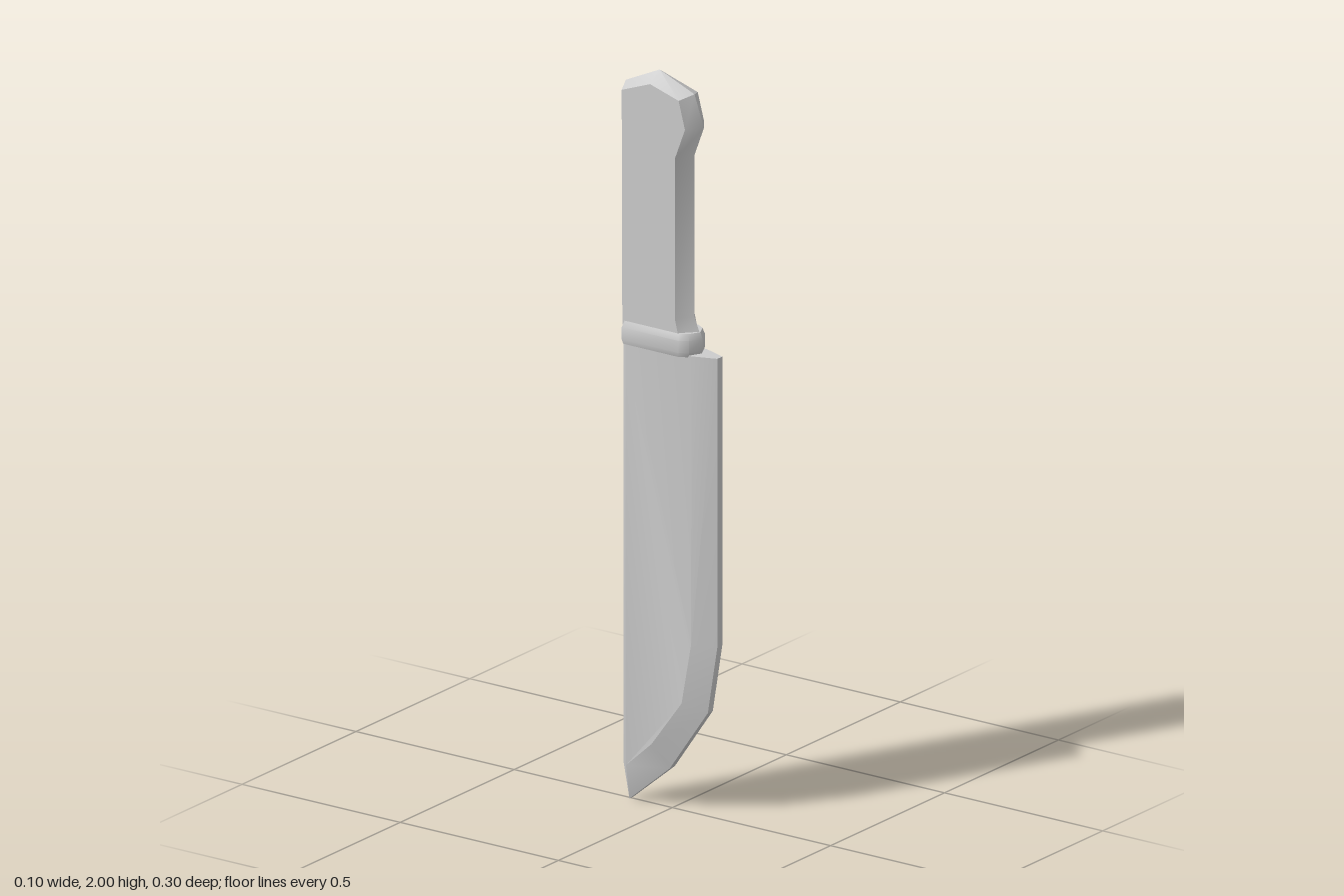
import * as THREE from 'three';
import { toCreasedNormals } from 'three/addons/utils/BufferGeometryUtils.js';

const material = new THREE.MeshStandardMaterial({ color: 0xcccccc });

function meshFromTriangles(name, positions, crease) {
  const g = new THREE.BufferGeometry();
  g.setAttribute('position', new THREE.Float32BufferAttribute(positions, 3));
  const mesh = new THREE.Mesh(toCreasedNormals(g, crease), material);
  mesh.name = name;
  return mesh;
}

// Mirrored slab: a thin rim outline bevelled out to a raised outline on each side.
// Points are [z, y, x], running down the front and up the back.
function bevelledSlab(name, rim, face, crease) {
  const positions = [];
  const tri = (a, b, c) => {
    const ab = new THREE.Vector3().subVectors(b, a);
    const ac = new THREE.Vector3().subVectors(c, a);
    if (ab.cross(ac).length() < 1e-9) return;
    for (const p of [a, b, c]) positions.push(p.x, p.y, p.z);
  };
  const at = ([z, y, x], side) => new THREE.Vector3(x * side, y, z);
  const n = rim.length;
  const caps = THREE.ShapeUtils.triangulateShape(face.map(([z, y]) => new THREE.Vector2(z, y)), []);
  for (const side of [1, -1]) {
    const put = (a, b, c) => (side > 0 ? tri(a, b, c) : tri(a, c, b));
    for (let i = 0; i < n; i++) {
      const j = (i + 1) % n;
      const [a, b, c, d] = [at(rim[i], side), at(rim[j], side), at(face[j], side), at(face[i], side)];
      put(a, b, c);
      put(a, c, d);
    }
    for (const t of caps) {
      const [a, b, c] = t.map((k) => at(face[k], side));
      const area = (b.z - a.z) * (c.y - a.y) - (b.y - a.y) * (c.z - a.z);
      if (area < 0) put(a, b, c);
      else put(a, c, b);
    }
  }
  // Narrow strip along the rim
  for (let i = 0; i < n; i++) {
    const j = (i + 1) % n;
    const [a, b, c, d] = [at(rim[i], 1), at(rim[i], -1), at(rim[j], -1), at(rim[j], 1)];
    tri(a, b, c);
    tri(a, c, d);
  }
  return meshFromTriangles(name, positions, crease);
}

// Stacked copies of one [x, z] ring; each level is [y, inset]
function stackedRings(name, ring, levels, crease) {
  const positions = [];
  const point = (k, [y, inset]) => {
    const [x, z] = ring[k % ring.length];
    const mid = -0.025;
    return [x * (1 - inset / 0.05), y, mid + (z - mid) * (1 - inset / 0.12)];
  };
  for (let l = 0; l < levels.length - 1; l++) {
    for (let k = 0; k < ring.length; k++) {
      const a = point(k, levels[l]), b = point(k + 1, levels[l]);
      const c = point(k + 1, levels[l + 1]), d = point(k, levels[l + 1]);
      positions.push(...a, ...b, ...c, ...a, ...c, ...d);
    }
  }
  const first = levels[0], last = levels[levels.length - 1];
  for (let k = 1; k < ring.length - 1; k++) {
    positions.push(...point(0, first), ...point(k + 1, first), ...point(k, first));
    positions.push(...point(0, last), ...point(k, last), ...point(k + 1, last));
  }
  return meshFromTriangles(name, positions, crease);
}

export function createModel() {
  const group = new THREE.Group();
  group.name = 'knife';

  // Blade: bevelled cutting edge, flat spine, tip at the back
  group.add(bevelledSlab('blade',
    [[0.15, 1.255, 0.011], [0.15, 0.47, 0.011], [0.12, 0.285, 0.011], [0, 0.11, 0.011],
      [-0.13, 0, 0.008], [-0.135, 0.11, 0.028], [-0.135, 1.255, 0.028]],
    [[0.085, 1.255, 0.034], [0.085, 0.47, 0.036], [0.055, 0.305, 0.036], [-0.04, 0.175, 0.036],
      [-0.122, 0.1, 0.034], [-0.125, 0.115, 0.034], [-0.125, 1.255, 0.032]], 0.35));

  // Handle: ridged front and back, hooked pommel
  const handleRim = [[-0.04, 2], [0.07, 1.955], [0.1, 1.87], [0.07, 1.79], [0.07, 1.35],
    [0.09, 1.3], [-0.147, 1.3], [-0.147, 1.95]];
  const handleFace = [[-0.04, 1.972], [0.05, 1.945], [0.07, 1.87], [0.038, 1.785], [0.038, 1.35],
    [0.05, 1.3], [-0.128, 1.3], [-0.13, 1.938]];
  group.add(bevelledSlab('handle',
    handleRim.map(([z, y]) => [z, y, 0]),
    handleFace.map(([z, y]) => [z, y, 0.042]), 0.7));

  // Collar between handle and blade
  const half = [[0, 0.095], [0.035, 0.078], [0.049, 0.055], [0.049, -0.125]];
  const ring = [...half, [0, -0.148], ...half.slice(1).reverse().map(([x, z]) => [-x, z])];
  group.add(stackedRings('collar', ring,
    [[1.25, 0.003], [1.262, 0], [1.295, 0], [1.312, 0.006]], 0.6));

  return group;
}
